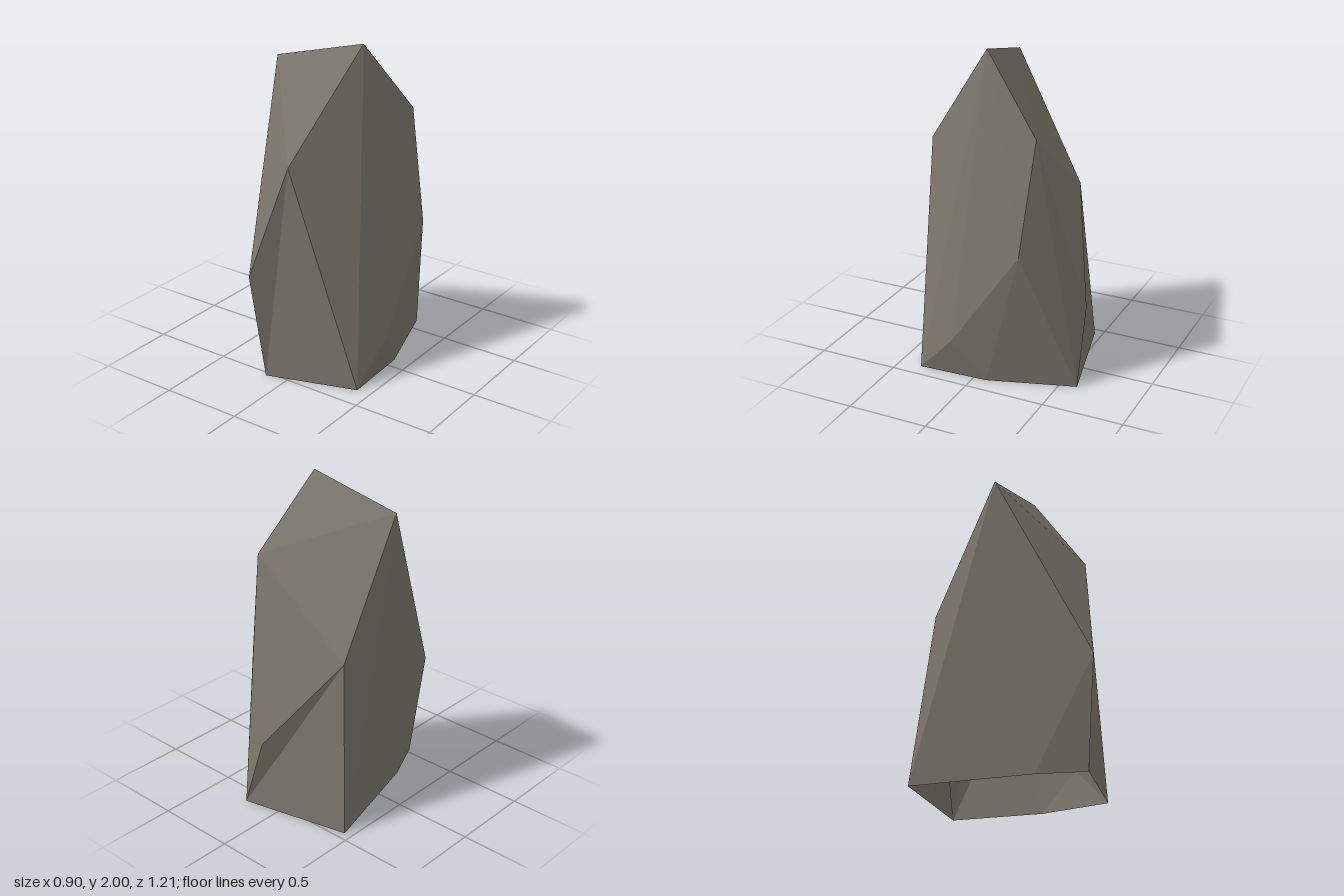
import * as THREE from 'three';

// Corners of the faceted boulder
const P = {
  ridgeL: [-0.375, 1.86, 0.06], ridgeR: [0.195, 2, 0],
  shoulderR: [0.31, 1.55, -0.36], shoulderL: [-0.36, 1.06, -0.36],
  chest: [0, 1.35, 0.465], belly: [-0.19, 0.67, 0.605],
  sideHigh: [0.43, 0.87, -0.31], sideLow: [0.45, 0.25, 0.12],
  back: [0.08, 0.46, -0.595],
  baseFR: [0.41, 0, 0.355], baseR: [0.39, 0, -0.08], baseBR: [0.225, 0, -0.605],
  baseBL: [-0.45, 0, -0.45], baseL: [-0.26, 0, 0.26], baseFL: [-0.14, 0, 0.53],
};

// Triangular facets; the underside is open
const FACETS = [
  // sloping top
  'ridgeL ridgeR shoulderR', 'ridgeL shoulderR shoulderL',
  // front
  'ridgeL ridgeR chest', 'ridgeL chest belly', 'chest belly baseFL',
  'chest baseFL baseFR', 'ridgeR chest baseFR',
  // +x side
  'ridgeR baseFR sideLow', 'ridgeR sideLow sideHigh', 'ridgeR sideHigh shoulderR',
  'baseFR baseR sideLow', 'sideHigh sideLow baseR', 'sideHigh baseR baseBR',
  // back
  'shoulderR sideHigh baseBR', 'shoulderR baseBR back', 'shoulderL shoulderR back',
  'shoulderL back baseBR', 'shoulderL baseBR baseBL',
  // -x side
  'ridgeL shoulderL baseBL', 'ridgeL baseBL baseL', 'ridgeL baseL belly', 'belly baseL baseFL',
];

function facetGeometry() {
  const centre = new THREE.Vector3(0, 0.8, 0);
  const points = [];
  for (const facet of FACETS) {
    const tri = facet.split(' ').map((name) => new THREE.Vector3(...P[name]));
    // turn every triangle to face outwards
    const normal = new THREE.Triangle(...tri).getNormal(new THREE.Vector3());
    if (normal.dot(tri[0].clone().sub(centre)) < 0) tri.reverse();
    points.push(...tri);
  }
  const geometry = new THREE.BufferGeometry().setFromPoints(points);
  geometry.computeVertexNormals();
  return geometry;
}

export function createModel() {
  const stone = new THREE.MeshStandardMaterial({
    color: 0x7b766b, flatShading: true, side: THREE.DoubleSide,
  });
  stone.name = 'warm grey stone';
  const rock = new THREE.Mesh(facetGeometry(), stone);
  rock.name = 'rock';
  const group = new THREE.Group();
  group.name = 'boulder';
  group.add(rock);
  return group;
}
